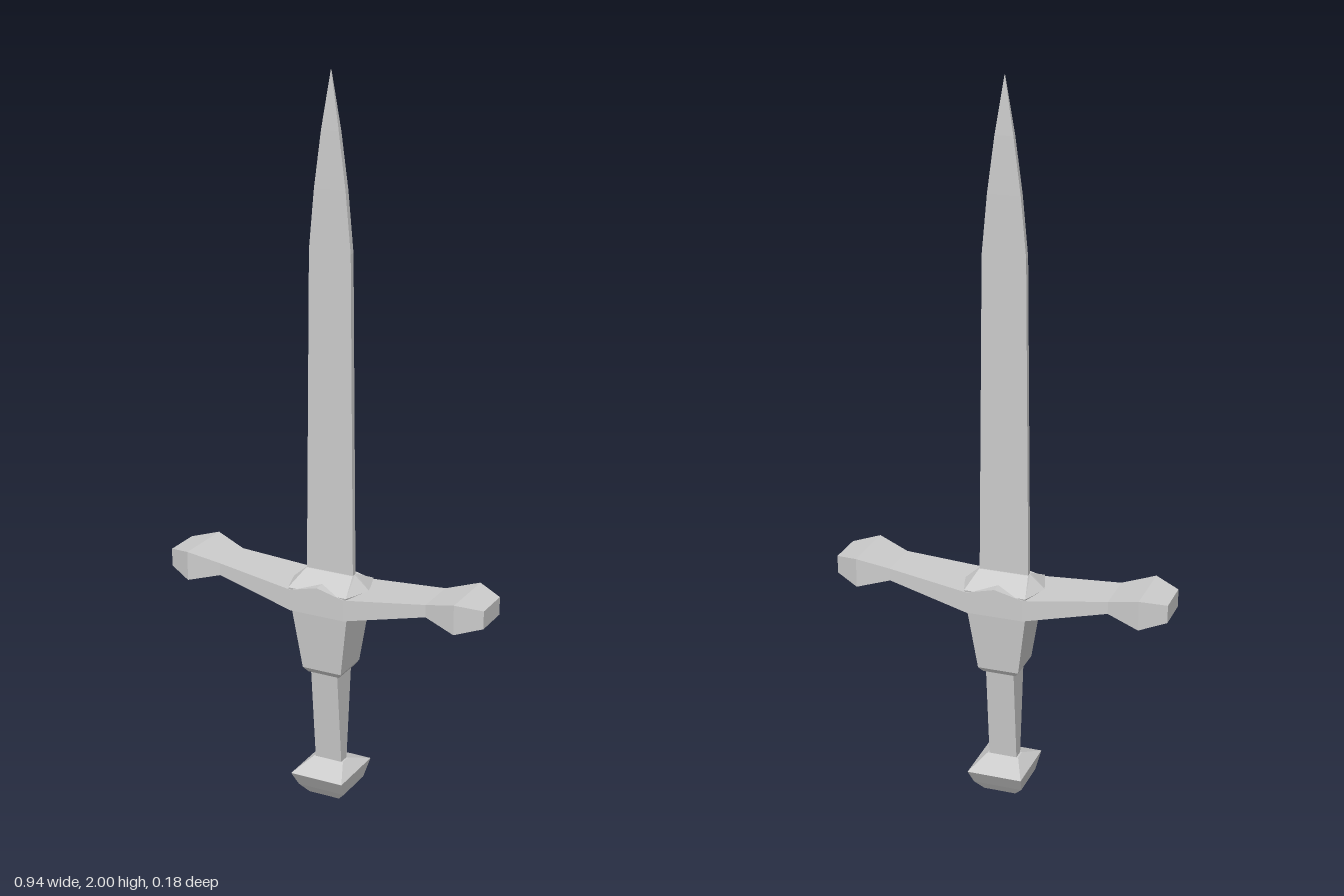
import * as THREE from 'three';

// Skin a stack of equal-length rings (ordered counter-clockwise seen from +y), with end caps.
function loft(name, rings) {
  const pos = [];
  const tri = (a, b, c) => pos.push(...a, ...b, ...c);
  const n = rings[0].length;
  for (let k = 0; k < rings.length - 1; k++) {
    for (let i = 0; i < n; i++) {
      const j = (i + 1) % n;
      const [a, b, c, d] = [rings[k][i], rings[k][j], rings[k + 1][j], rings[k + 1][i]];
      tri(a, b, c);
      tri(a, c, d);
    }
  }
  const first = rings[0], last = rings[rings.length - 1];
  for (let i = 1; i < n - 1; i++) {
    tri(first[0], first[i + 1], first[i]);
    tri(last[0], last[i], last[i + 1]);
  }
  const geometry = new THREE.BufferGeometry();
  geometry.setAttribute('position', new THREE.Float32BufferAttribute(pos, 3));
  geometry.computeVertexNormals();
  const mesh = new THREE.Mesh(geometry, new THREE.MeshStandardMaterial({ color: 0xcccccc, flatShading: true }));
  mesh.name = name;
  return mesh;
}

// Rectangular ring at height y, spanning x0..x1 and -d..d.
const rect = (y, x0, x1, d) => [[x1, y, d], [x1, y, -d], [x0, y, -d], [x0, y, d]];
// Stack of centred rectangles given as [y, half width, half depth].
const stack = (name, rows) => loft(name, rows.map(([y, w, d]) => rect(y, -w, w, d)));

export function createModel() {
  const model = new THREE.Group();

  // Flat blade tapering to a point
  model.add(stack('blade', [
    [0.62, 0.07, 0.008], [1.54, 0.06, 0.008], [1.7, 0.045, 0.008],
    [1.85, 0.025, 0.007], [2, 0.0005, 0.001],
  ]));

  // Crossguard: half profile [x, bottom, top, half depth], mirrored and laid along x
  const half = [
    [0.08, 0.56, 0.62, 0.085], [0.31, 0.61, 0.645, 0.063],
    [0.4, 0.587, 0.67, 0.086], [0.47, 0.605, 0.655, 0.053],
  ];
  const stations = [
    ...half.map(([x, ...rest]) => [-x, ...rest]).reverse(),
    [0, 0.56, 0.64, 0.085],
    ...half,
  ];
  const guard = loft('crossguard', stations.map(([x, bottom, top, d]) => rect(x, -top, -bottom, d)));
  guard.geometry.rotateZ(-Math.PI / 2);
  model.add(guard);

  // Faceted collar around the root of the blade
  const hex = (yMid, yCorner, mid, w, d) => [
    [w, yCorner, d], [mid, yMid, 0], [w, yCorner, -d],
    [-w, yCorner, -d], [-mid, yMid, 0], [-w, yCorner, d],
  ];
  model.add(loft('collar', [
    hex(0.6, 0.6, 0.1, 0.08, 0.078),
    hex(0.622, 0.625, 0.115, 0.087, 0.083),
    hex(0.66, 0.66, 0.072, 0.07, 0.011),
  ]));

  // Flared sleeve under the guard
  model.add(stack('sleeve', [
    [0.37, 0.047, 0.045], [0.385, 0.058, 0.056], [0.56, 0.083, 0.071], [0.6, 0.083, 0.082],
  ]));

  // Grip, thinning toward the pommel
  model.add(stack('grip', [[0.09, 0.04, 0.015], [0.375, 0.04, 0.042]]));

  // Pommel
  model.add(stack('pommel', [
    [0, 0.046, 0.042], [0.026, 0.07, 0.06], [0.072, 0.078, 0.09], [0.1, 0.045, 0.016],
  ]));

  return model;
}
